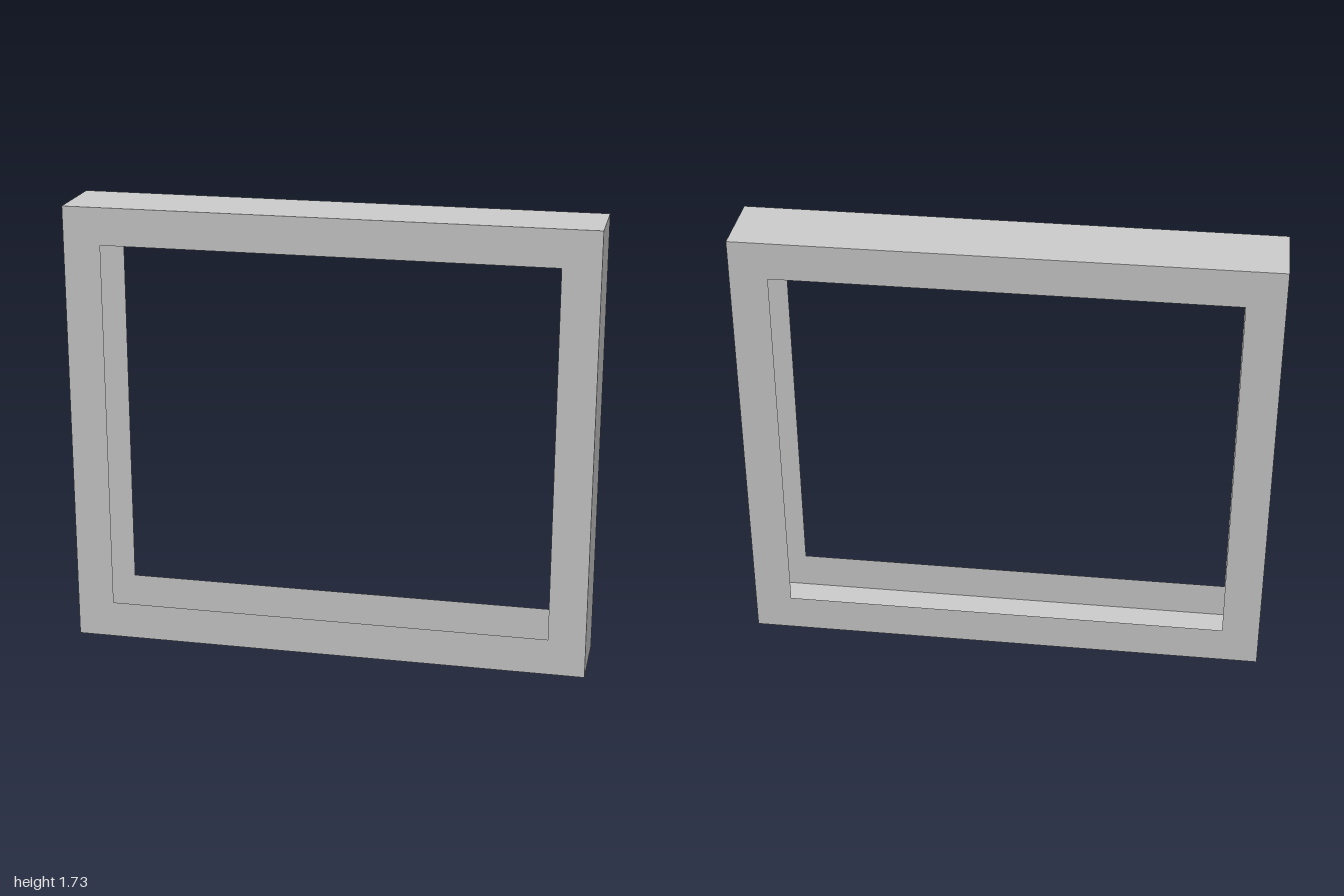
import * as THREE from 'three';

const W = 2, H = 1.727, D = 0.286, BORDER = 0.143;

export function createModel() {
  const model = new THREE.Group();
  model.name = 'windowFrame';
  const material = new THREE.MeshStandardMaterial({ color: 0xcccccc, side: THREE.DoubleSide });

  const add = (name, geometry, position, rotation = [0, 0, 0]) => {
    const mesh = new THREE.Mesh(geometry, material);
    mesh.name = name;
    mesh.position.set(...position);
    mesh.rotation.set(...rotation);
    model.add(mesh);
  };

  // Thin rectangular faces, each with a window opening
  const rectangle = (Type, x, y) => new Type([
    new THREE.Vector2(-x, -y), new THREE.Vector2(x, -y),
    new THREE.Vector2(x, y), new THREE.Vector2(-x, y),
  ]);
  const shape = rectangle(THREE.Shape, W / 2, H / 2);
  shape.holes.push(rectangle(THREE.Path, W / 2 - BORDER, H / 2 - BORDER));
  const face = new THREE.ShapeGeometry(shape);
  add('frontFace', face, [0, H / 2, D / 2]);
  add('backFace', face, [0, H / 2, -D / 2], [0, Math.PI, 0]);

  // Outer walls; the channel between the faces is open towards the window
  const side = new THREE.PlaneGeometry(D, H);
  add('leftWall', side, [W / 2, H / 2, 0], [0, Math.PI / 2, 0]);
  add('rightWall', side, [-W / 2, H / 2, 0], [0, -Math.PI / 2, 0]);
  const rail = new THREE.PlaneGeometry(W, D);
  add('topWall', rail, [0, H, 0], [-Math.PI / 2, 0, 0]);
  add('bottomWall', rail, [0, 0, 0], [Math.PI / 2, 0, 0]);

  return model;
}
